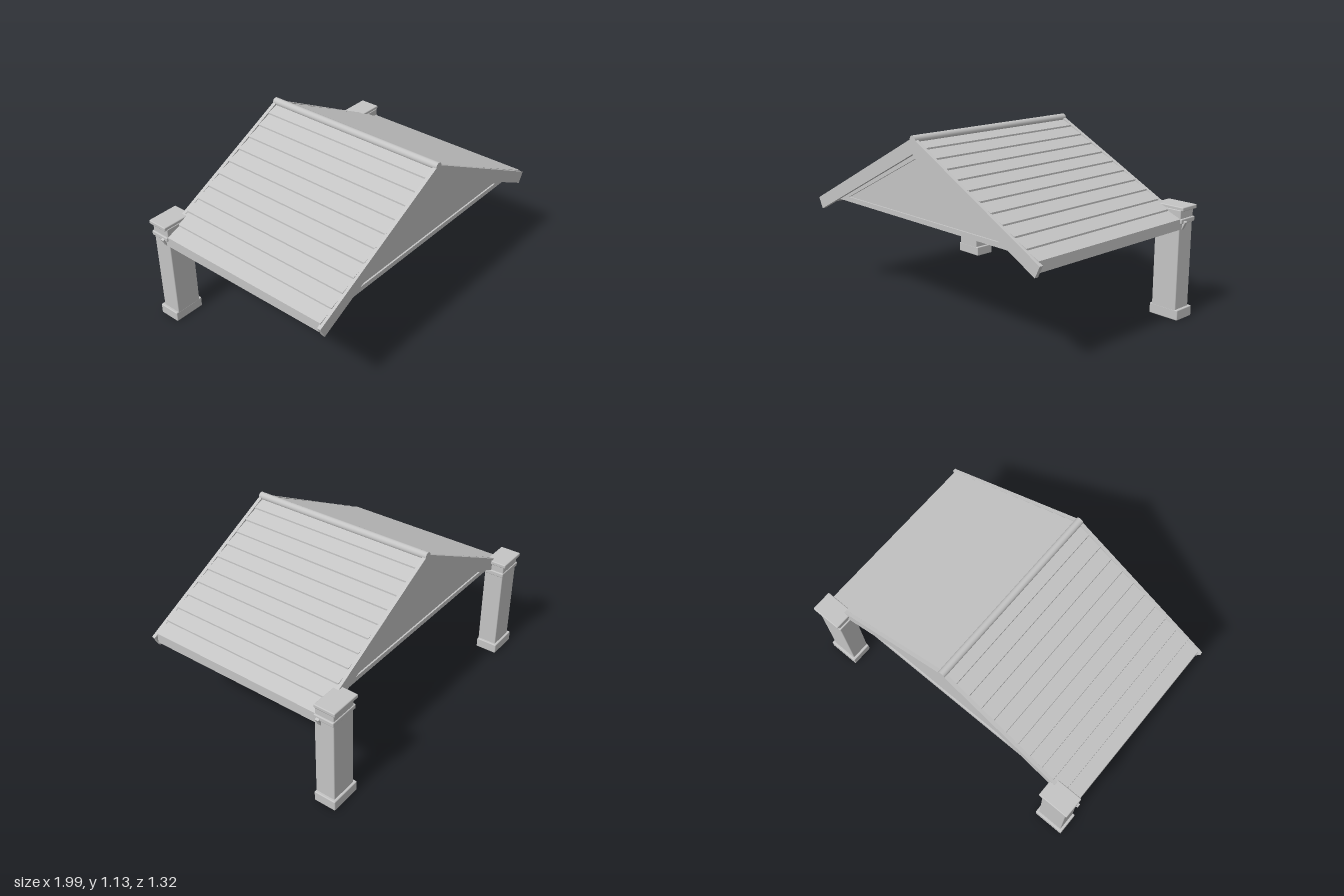
import * as THREE from 'three';
import { RoundedBoxGeometry } from 'three/addons/geometries/RoundedBoxGeometry.js';

export function createModel() {
  const model = new THREE.Group();
  model.name = 'gabledPorchRoof';
  const grey = new THREE.MeshStandardMaterial({ color: 0xc4c4c4 });
  grey.name = 'plain grey';

  const add = (name, geometry, parent = model) => {
    const mesh = new THREE.Mesh(geometry, grey);
    mesh.name = name;
    parent.add(mesh);
    return mesh;
  };

  // Extrudes a profile mirrored about x = 0; half runs from top centre out and back to bottom centre
  const symmetric = (half, z0, z1) => {
    const left = half.filter(([x]) => x > 0).map(([x, y]) => [-x, y]).reverse();
    const points = [...half, ...left].map(([x, y]) => new THREE.Vector2(x, y));
    const geometry = new THREE.ExtrudeGeometry(new THREE.Shape(points), { depth: z1 - z0, bevelEnabled: false });
    return geometry.translate(0, 0, z0);
  };

  // Roof slab with overlapping boards stepping down each slope
  const laps = 11, eaveX = 0.975, ridgeY = 1.108, slope = 0.503, step = 0.01;
  const roofY = (x) => ridgeY - slope * x;
  const profile = [[0, ridgeY]];
  for (let i = 1; i <= laps; i++) {
    const x = (eaveX * i) / laps;
    profile.push([x, roofY(x) + step]);
    if (i < laps) profile.push([x + 0.0005, roofY(x)]);
  }
  profile.push([eaveX, 0.565], [0, 1.056]);
  add('lappedRoof', symmetric(profile, -0.545, 0.642));

  // Ridge cap
  const ridge = add('ridgeCap', new THREE.CylinderGeometry(0.024, 0.024, 1.225, 16).rotateX(Math.PI / 2));
  ridge.position.set(0, 1.112, 0.0475);

  // Gable ends: outer rake boards, recessed panel, inner trim and tie beam
  const gable = (name, outer, dir) => {
    const group = new THREE.Group();
    group.name = name;
    model.add(group);
    const slab = (part, half, from, to) => {
      const a = outer - dir * from, b = outer - dir * to;
      add(part, symmetric(half, Math.min(a, b), Math.max(a, b)), group);
    };
    slab('rakeBoard', [[0, 1.122], [0.997, 0.608], [0.963, 0.54], [0, 1.03]], 0, 0.023);
    slab('rakeTrim', [[0, 1.045], [0.815, 0.635], [0.735, 0.635], [0, 1.002]], 0.02, 0.04);
    slab('gablePanel', [[0, 1.056], [0.83, 0.64], [0, 0.64]], 0.03, 0.045);
    const beam = add('tieBeam', new THREE.BoxGeometry(1.61, 0.03, 0.04), group);
    beam.position.set(0, 0.646, outer - dir * 0.04);
  };
  gable('frontGable', 0.66, 1);
  gable('rearGable', -0.565, -1);

  // Rear columns: [part, width, depth, bottom, top, z]
  const columnParts = [
    ['base', 0.204, 0.142, 0.005, 0.07, -0.59],
    ['shaft', 0.172, 0.127, 0.03, 0.61, -0.583],
    ['collar', 0.196, 0.13, 0.598, 0.628, -0.588],
    ['neck', 0.176, 0.124, 0.62, 0.68, -0.586],
    ['cap', 0.202, 0.137, 0.673, 0.698, -0.596],
  ];
  for (const side of [-1, 1]) {
    const column = new THREE.Group();
    column.name = side > 0 ? 'leftColumn' : 'rightColumn';
    model.add(column);
    for (const [name, w, d, y0, y1, z] of columnParts) {
      const part = add(name, new RoundedBoxGeometry(w, y1 - y0, d, 2, 0.006), column);
      part.position.set(side * 0.887, (y0 + y1) / 2, z);
    }
  }
  model.position.y = -0.005;
  return model;
}
